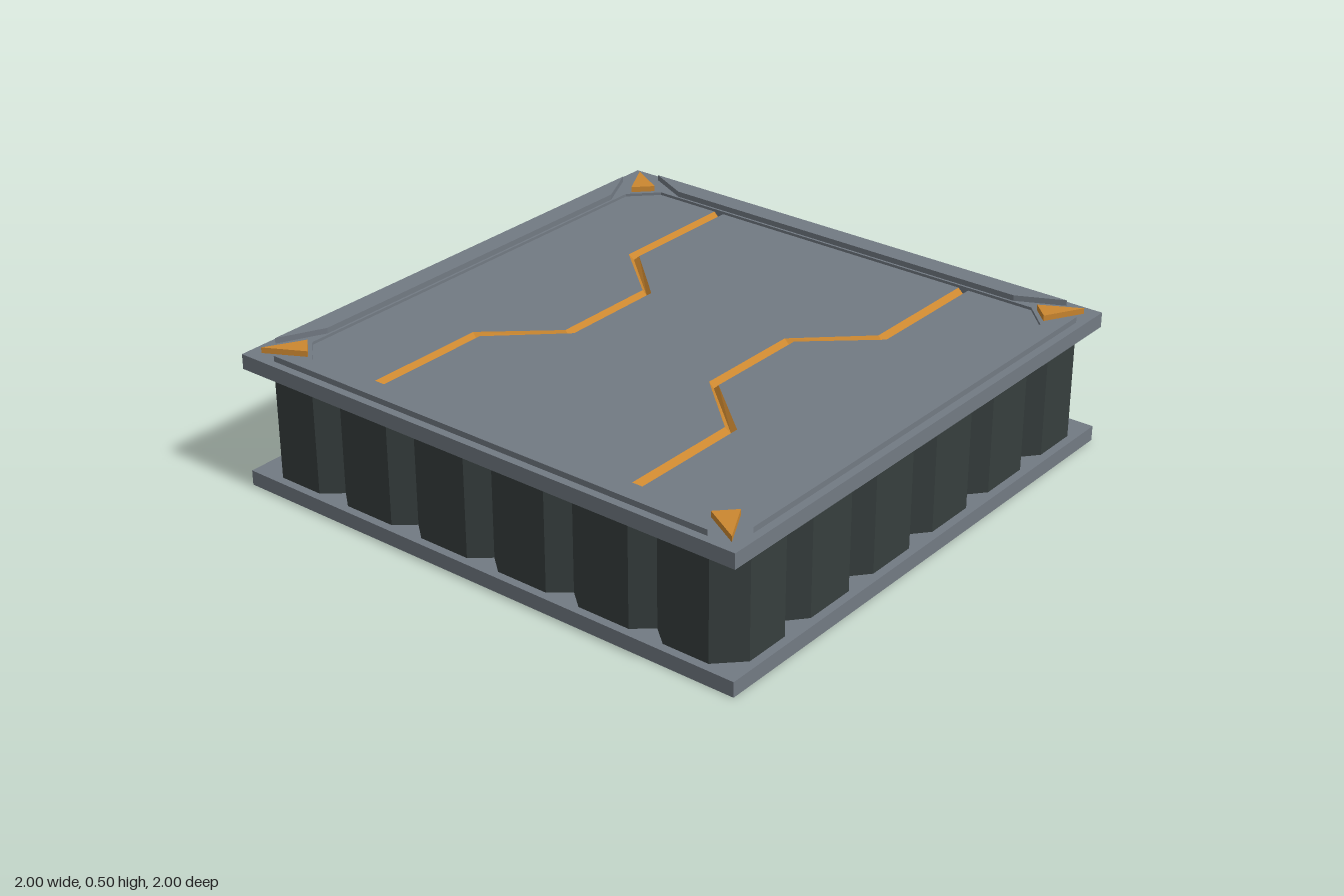
import * as THREE from 'three';

const plateMat = new THREE.MeshStandardMaterial({ name: 'plateGrey', color: 0x727a83 });
const coreMat = new THREE.MeshStandardMaterial({ name: 'coreDark', color: 0x363e3d });
const accentMat = new THREE.MeshStandardMaterial({ name: 'accentOrange', color: 0xcb8730 });

const PLATE = 0.053;   // plate thickness
const PANEL = 0.043;   // height of the sunken panel inside a plate
const INNER = 0.887;   // half size of the panel
const CUT = 0.795;     // where the panel corners are cut off
const TOP = 0.48;

// Half of each groove line, from the outer end to the middle: [x, z]
const nearEdge = [[INNER, 0.507], [0.41, 0.507], [0.2, 0.281]];
const midLine = [[INNER, 0.527], [0.405, 0.527], [0.2, 0.3]];
const farEdge = [[INNER, 0.546], [0.4, 0.546], [0.2, 0.319]];

// Mirror a half line in x so it runs from -x to +x
const fullLine = (half) => [
  ...half.map(([x, z]) => [-x, z]),
  ...half.slice().reverse(),
];

const shapeOf = (pts) => new THREE.Shape(pts.map(([x, z]) => new THREE.Vector2(x, -z)));

// Extrude an [x, z] outline upwards
function slab(name, shape, y, height, material) {
  const geo = new THREE.ExtrudeGeometry(shape, { depth: height, bevelEnabled: false });
  geo.rotateX(-Math.PI / 2);
  const mesh = new THREE.Mesh(geo, material);
  mesh.position.y = y;
  mesh.name = name;
  return mesh;
}

// V-shaped groove made of two sloping ribbons
function grooveGeometry() {
  const rows = [[nearEdge, PANEL], [midLine, PANEL - 0.018], [farEdge, PANEL]]
    .map(([half, y]) => fullLine(half).map(([x, z]) => [x, y, z]));
  const pos = [];
  for (let r = 0; r < 2; r++) {
    for (let i = 0; i < rows[0].length - 1; i++) {
      const a = rows[r][i], b = rows[r + 1][i];
      const c = rows[r + 1][i + 1], d = rows[r][i + 1];
      pos.push(...a, ...b, ...c, ...a, ...c, ...d);
    }
  }
  const geo = new THREE.BufferGeometry();
  geo.setAttribute('position', new THREE.Float32BufferAttribute(pos, 3));
  geo.computeVertexNormals();
  return geo;
}

// Square frame around a sunken panel with two grooves
function makePlate(name, grooveMat) {
  const plate = new THREE.Group();
  plate.name = name;

  const frame = shapeOf([[-1, 1], [1, 1], [1, -1], [-1, -1]]);
  frame.holes.push(shapeOf([
    [CUT, INNER], [INNER, CUT], [INNER, -CUT], [CUT, -INNER],
    [-CUT, -INNER], [-INNER, -CUT], [-INNER, CUT], [-CUT, INNER],
  ]));
  plate.add(slab('frame', frame, 0, PLATE, plateMat));

  const near = fullLine(nearEdge);
  const middle = shapeOf([...near, ...near.map(([x, z]) => [-x, -z])]);
  plate.add(slab('middlePanel', middle, 0, PANEL, plateMat));

  const end = shapeOf([
    ...fullLine(farEdge), [INNER, CUT], [CUT, INNER], [-CUT, INNER], [-INNER, CUT],
  ]);
  const geo = grooveGeometry();
  for (const turn of [0, Math.PI]) {
    const panel = slab('endPanel', end, 0, PANEL, plateMat);
    panel.rotation.y = turn;
    const groove = new THREE.Mesh(geo, grooveMat);
    groove.name = 'groove';
    groove.rotation.y = turn;
    plate.add(panel, groove);
  }
  return plate;
}

// Corrugated core: five V notches per side and cut corners
function makeCore() {
  const R = 0.97, C = 0.885, depth = 0.055, half = 0.065;
  const side = [[-C, R]];
  for (let i = -2; i <= 2; i++) {
    const x = i * 0.325;
    side.push([x - half, R], [x, R - depth], [x + half, R]);
  }
  side.push([C, R]);
  const outline = [];
  let pts = side;
  for (let k = 0; k < 4; k++) {
    outline.push(...pts);
    pts = pts.map(([x, z]) => [z, -x]);
  }
  return slab('corrugatedCore', shapeOf(outline), PLATE, TOP - 2 * PLATE, coreMat);
}

export function createModel() {
  const model = new THREE.Group();
  model.name = 'panelledBlock';

  model.add(makeCore());

  const top = makePlate('topPlate', accentMat);
  top.position.y = TOP - PLATE;
  const bottom = makePlate('bottomPlate', plateMat);
  bottom.rotation.x = Math.PI;
  bottom.position.y = PLATE;
  model.add(top, bottom);

  // Raised rim strips and corner markers on top
  const strip = shapeOf([[-0.88, 0.972], [0.88, 0.972], [0.72, 0.895], [-0.72, 0.895]]);
  const marker = shapeOf([[0.955, 0.957], [0.882, 0.82], [0.822, 0.882]]);
  for (let k = 0; k < 4; k++) {
    const rim = slab('rimStrip', strip, TOP, 0.02, plateMat);
    const corner = slab('cornerMarker', marker, TOP, 0.02, accentMat);
    rim.rotation.y = corner.rotation.y = k * Math.PI / 2;
    model.add(rim, corner);
  }
  return model;
}
